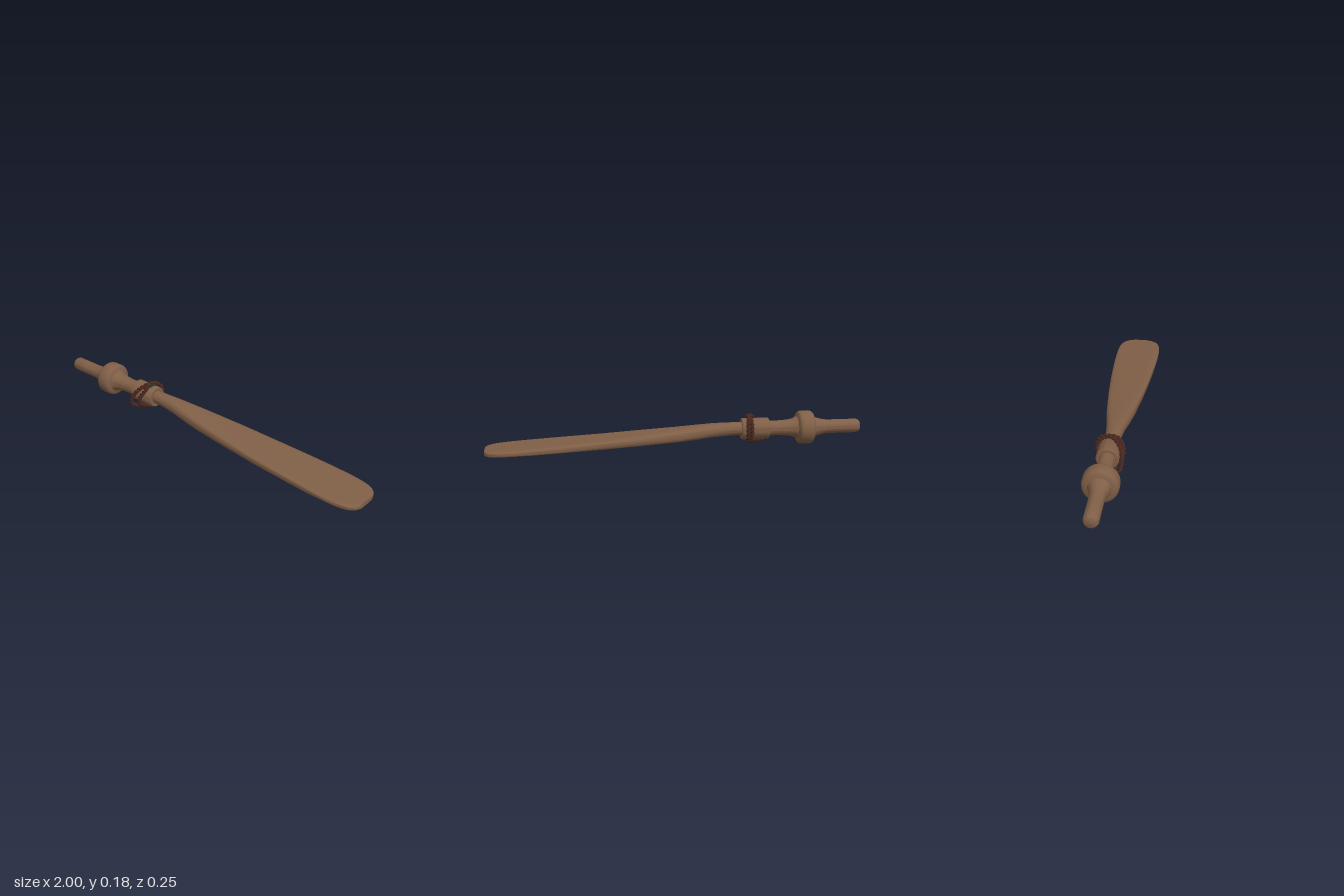
import * as THREE from 'three';
import { toCreasedNormals } from 'three/addons/utils/BufferGeometryUtils.js';

const AXIS_Y = 0.093;

// Turned part along the x axis from [x, radius] pairs
function turned(profile, material, name) {
  const pts = profile.map(([x, r]) => new THREE.Vector2(r, x));
  const geo = new THREE.LatheGeometry(pts, 40).rotateZ(-Math.PI / 2);
  const mesh = new THREE.Mesh(toCreasedNormals(geo, 0.75), material);
  mesh.position.y = AXIS_Y;
  mesh.name = name;
  return mesh;
}

// Blade: sections [x, bottom, top, half width, squareness]
function bladeGeometry() {
  const rows = [
    [-0.36, 0.060, 0.130, 0.036, 2], [-0.30, 0.060, 0.130, 0.038, 2.1],
    [-0.20, 0.055, 0.127, 0.048, 2.4], [-0.10, 0.046, 0.117, 0.062, 3],
    [0.0, 0.040, 0.106, 0.075, 3.6], [0.2, 0.033, 0.088, 0.095, 4.5],
    [0.4, 0.025, 0.070, 0.110, 5.5], [0.6, 0.018, 0.056, 0.121, 6],
    [0.75, 0.012, 0.046, 0.126, 6], [0.84, 0.009, 0.040, 0.126, 6],
    [0.90, 0.007, 0.036, 0.122, 6], [0.94, 0.005, 0.034, 0.113, 6],
    [0.97, 0.004, 0.032, 0.099, 6], [0.99, 0.003, 0.030, 0.079, 6],
    [1.0, 0.003, 0.029, 0.052, 6],
  ];
  const N = 48, pos = [], idx = [];
  const power = (v, n) => Math.sign(v) * Math.pow(Math.abs(v), 2 / n);
  for (const [x, lo, hi, w, n] of rows) {
    for (let j = 0; j < N; j++) {
      const a = (j / N) * Math.PI * 2;
      pos.push(x, (lo + hi) / 2 + power(Math.sin(a), n) * (hi - lo) / 2, power(Math.cos(a), n) * w);
    }
  }
  for (let i = 0; i < rows.length - 1; i++) {
    for (let j = 0; j < N; j++) {
      const k = (j + 1) % N, a = i * N, b = a + N;
      idx.push(a + j, b + j, a + k, a + k, b + j, b + k);
    }
  }
  // Tip face
  const last = (rows.length - 1) * N;
  pos.push(1.0, 0.016, 0);
  for (let j = 0; j < N; j++) idx.push(last + N, last + (j + 1) % N, last + j);
  const geo = new THREE.BufferGeometry();
  geo.setAttribute('position', new THREE.Float32BufferAttribute(pos, 3));
  geo.setIndex(idx);
  return toCreasedNormals(geo, 0.7);
}

// Twisted cord: two strands winding around a closed path
function twistedCord(points, material, name) {
  const path = new THREE.CatmullRomCurve3(points.map(p => new THREE.Vector3(...p)), true);
  const steps = 140, turns = 11, offset = 0.0055;
  const frames = path.computeFrenetFrames(steps, true);
  const group = new THREE.Group();
  group.name = name;
  for (let s = 0; s < 2; s++) {
    const strand = [];
    for (let i = 0; i < steps; i++) {
      const a = (i / steps) * turns * Math.PI * 2 + s * Math.PI;
      strand.push(path.getPointAt(i / steps)
        .addScaledVector(frames.normals[i], Math.cos(a) * offset)
        .addScaledVector(frames.binormals[i], Math.sin(a) * offset));
    }
    const curve = new THREE.CatmullRomCurve3(strand, true);
    const mesh = new THREE.Mesh(new THREE.TubeGeometry(curve, 280, 0.0065, 7, true), material);
    mesh.name = 'cordStrand';
    group.add(mesh);
  }
  return group;
}

export function createModel() {
  const model = new THREE.Group();
  model.name = 'paddle';
  const wood = new THREE.MeshStandardMaterial({ color: 0x805f47 });
  wood.name = 'brown wood';
  const cord = new THREE.MeshStandardMaterial({ color: 0x4a2820 });
  cord.name = 'dark red cord';
  const green = new THREE.MeshStandardMaterial({ color: 0x24382a });
  green.name = 'dark green thread';

  // Grip, round knob and neck
  model.add(turned([
    [-1.0, 0], [-1.0, 0.026], [-0.995, 0.032], [-0.983, 0.037], [-0.9, 0.037], [-0.82, 0.037],
    [-0.79, 0.041], [-0.76, 0.05], [-0.742, 0.057], [-0.738, 0.078], [-0.731, 0.086],
    [-0.718, 0.0895], [-0.675, 0.0895], [-0.663, 0.086], [-0.656, 0.078], [-0.652, 0.06],
    [-0.63, 0.049], [-0.6, 0.043], [-0.55, 0.04], [-0.49, 0.04],
  ], wood, 'handle'));

  // Collar under the cord
  model.add(turned([
    [-0.497, 0.03], [-0.497, 0.053], [-0.493, 0.057], [-0.354, 0.057], [-0.349, 0.053], [-0.349, 0.03],
  ], wood, 'collar'));

  const blade = new THREE.Mesh(bladeGeometry(), wood);
  blade.name = 'blade';
  model.add(blade);

  // Cord wound around the collar, hanging loose at the front
  model.add(twistedCord([
    [-0.395, 0.163, 0.0], [-0.378, 0.142, -0.05], [-0.375, 0.093, -0.069], [-0.38, 0.045, -0.05],
    [-0.40, 0.026, -0.005], [-0.45, 0.022, 0.035], [-0.492, 0.027, 0.056], [-0.475, 0.075, 0.068],
    [-0.445, 0.12, 0.06], [-0.415, 0.151, 0.035],
  ], cord, 'looseCord'));
  model.add(twistedCord([
    [-0.39, 0.161, 0.012], [-0.395, 0.148, -0.043], [-0.395, 0.093, -0.068], [-0.395, 0.042, -0.047],
    [-0.405, 0.025, 0.0], [-0.43, 0.04, 0.05], [-0.415, 0.093, 0.068], [-0.39, 0.138, 0.051],
  ], cord, 'tightCord'));

  // Green thread under the cord on top
  const arc = [];
  for (let i = 0; i <= 8; i++) {
    const a = -0.6 + i * 0.12;
    arc.push(new THREE.Vector3(-0.383, AXIS_Y + Math.cos(a) * 0.064, Math.sin(a) * 0.064));
  }
  const thread = new THREE.Mesh(
    new THREE.TubeGeometry(new THREE.CatmullRomCurve3(arc), 24, 0.007, 8), green);
  thread.name = 'thread';
  model.add(thread);

  return model;
}
